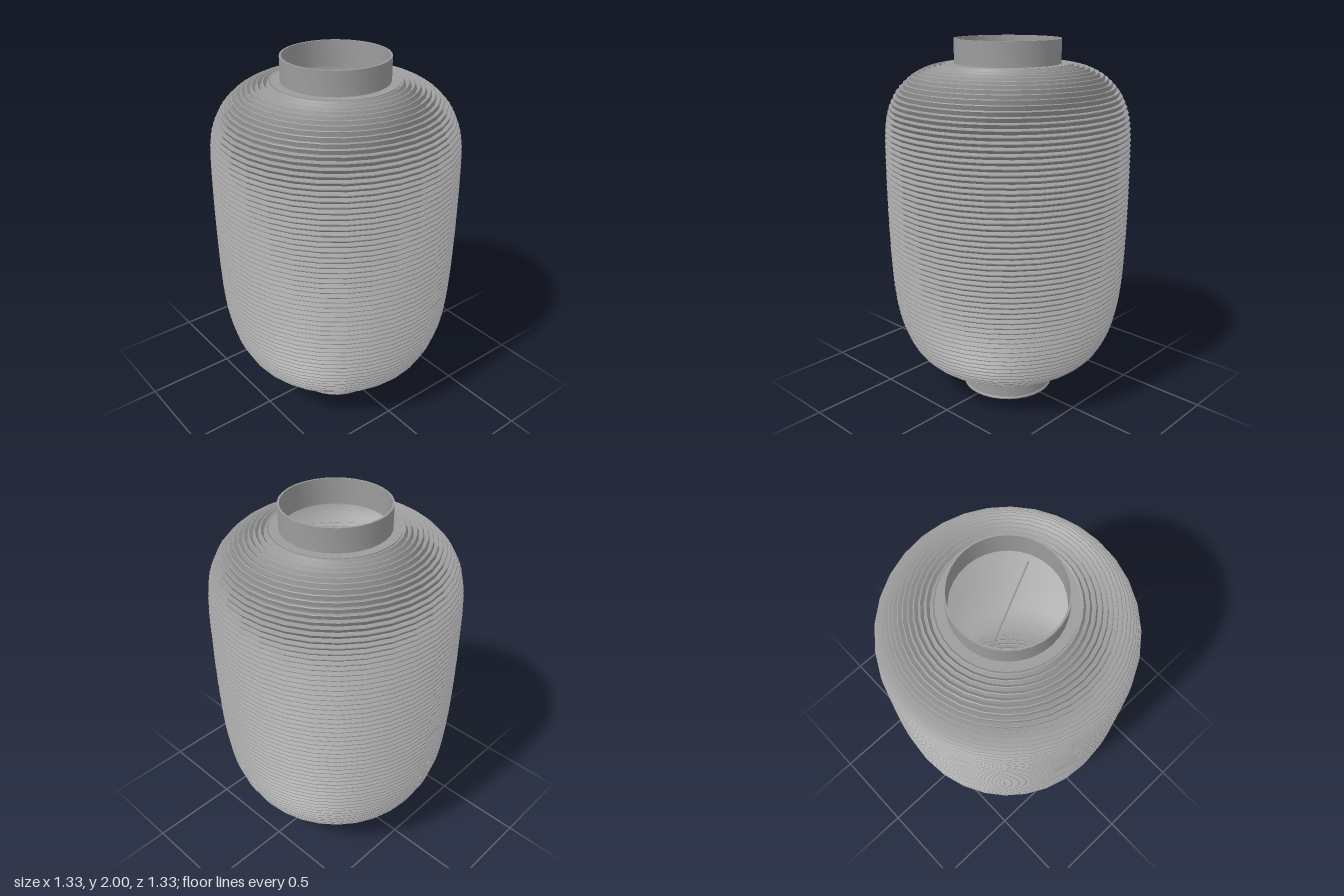
import * as THREE from 'three';
import { toCreasedNormals } from 'three/addons/utils/BufferGeometryUtils.js';

const SIDES = 32;
const RIBS = 72;
const material = new THREE.MeshStandardMaterial({ color: 0x9c9c9c, side: THREE.DoubleSide });

const v = (r, y) => new THREE.Vector2(r, y);

// Turned part: smooth around the axis, sharp across the profile's corners
function lathe(name, points) {
  const geometry = toCreasedNormals(new THREE.LatheGeometry(points, SIDES), 0.4);
  const mesh = new THREE.Mesh(geometry, material);
  mesh.name = name;
  return mesh;
}

// Thin-walled sleeve with a rectangular section
function collar(name, outer, inner, bottom, top) {
  return lathe(name, [
    v(outer, bottom), v(outer, top), v(inner, top), v(inner, bottom), v(outer, bottom)
  ]);
}

// Paper shade: a barrel profile folded into evenly spaced sharp ribs
function ribbedShade() {
  const curve = new THREE.SplineCurve([
    v(0.26, 0.142), v(0.36, 0.16), v(0.45, 0.205), v(0.51, 0.255), v(0.55, 0.31),
    v(0.595, 0.41), v(0.625, 0.53), v(0.645, 0.7), v(0.655, 0.95), v(0.658, 1.2),
    v(0.655, 1.48), v(0.64, 1.61), v(0.605, 1.7), v(0.56, 1.76), v(0.5, 1.81),
    v(0.42, 1.847), v(0.33, 1.865)
  ]);
  curve.arcLengthDivisions = 600;
  // One rib: position along its pitch and height above the profile
  const rib = [[0, -0.01], [0.5, 0.009], [0.66, 0.009]];
  const points = [];
  for (let i = 0; i < RIBS; i++) {
    for (const [along, height] of rib) {
      const t = (i + along) / RIBS;
      const p = curve.getPointAt(t);
      const tangent = curve.getTangentAt(t);
      points.push(v(p.x + tangent.y * height, p.y - tangent.x * height));
    }
  }
  points.push(v(0.33, 1.865));
  return lathe('ribbedShade', points);
}

export function createModel() {
  const lantern = new THREE.Group();
  lantern.name = 'paperLantern';

  lantern.add(ribbedShade());

  // Upper collar and the flat ring around its foot
  lantern.add(collar('topCollar', 0.285, 0.275, 1.872, 2));
  lantern.add(collar('topRing', 0.333, 0.275, 1.86, 1.872));

  // Lower collar, the flat ring inside the shade and a small rolled rim
  lantern.add(collar('bottomCollar', 0.256, 0.243, 0.005, 0.142));
  lantern.add(collar('bottomRing', 0.29, 0.243, 0.142, 0.155));
  const rim = new THREE.Mesh(new THREE.TorusGeometry(0.253, 0.009, 8, SIDES), material);
  rim.name = 'bottomRim';
  rim.rotation.x = Math.PI / 2;
  rim.position.y = 0.009;
  lantern.add(rim);

  // Wire across the inside, below the upper opening
  const wire = new THREE.Mesh(new THREE.CylinderGeometry(0.004, 0.004, 0.54, 8), material);
  wire.name = 'crossWire';
  wire.rotation.set(Math.PI / 2, 0.44, 0, 'YXZ');
  wire.position.y = 1.8;
  lantern.add(wire);

  return lantern;
}
